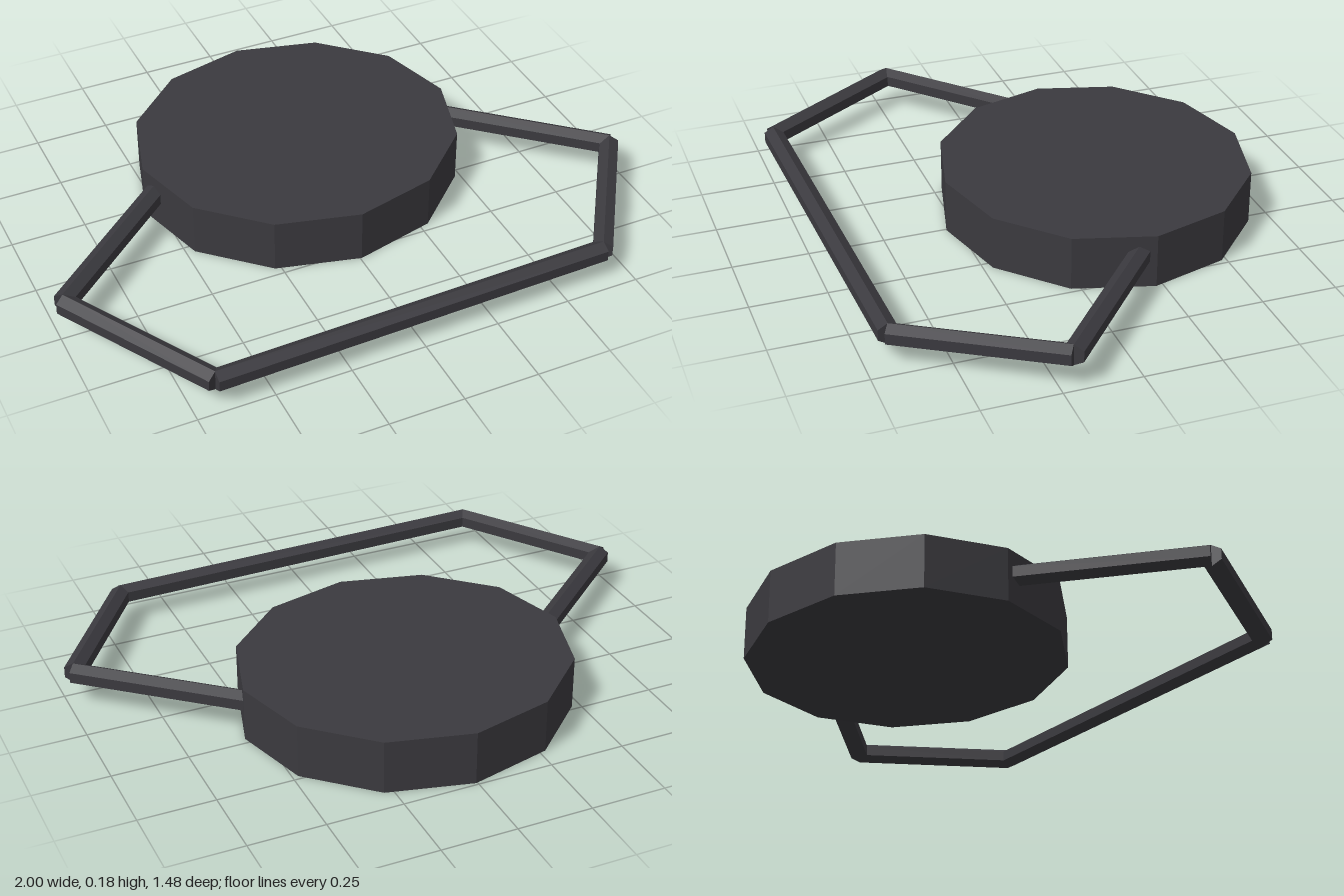
import * as THREE from 'three';

const charcoal = new THREE.MeshStandardMaterial({ color: 0x3b3a3f, flatShading: true });
charcoal.name = 'charcoal';

// Straight six-sided rod from a to b, with one ridge facing up
function rod(name, a, b) {
  const start = new THREE.Vector3(...a), end = new THREE.Vector3(...b);
  const geo = new THREE.CylinderGeometry(0.036, 0.036, start.distanceTo(end), 6);
  geo.rotateX(-Math.PI / 2);
  const mesh = new THREE.Mesh(geo, charcoal);
  mesh.name = name;
  mesh.position.copy(start).lerp(end, 0.5);
  mesh.lookAt(end);
  return mesh;
}

export function createModel() {
  const model = new THREE.Group();
  model.name = 'discWithLoop';

  // Twelve-sided disc, slightly wider than deep
  const disc = new THREE.Mesh(new THREE.CylinderGeometry(1, 1, 0.18, 12), charcoal);
  disc.name = 'disc';
  disc.scale.set(0.55, 1, 0.515);
  disc.position.set(0.005, 0.09, -0.227);
  model.add(disc);

  // Bent loop of rods, its ends sunk into the disc
  const path = [
    [-0.48, 0.109, -0.215], [-0.972, 0.105, 0.213], [-0.673, 0.09, 0.706],
    [0.667, 0.09, 0.671], [0.972, 0.105, 0.208], [0.49, 0.109, -0.215],
  ];
  const names = ['rightArm', 'rightSide', 'frontBar', 'leftSide', 'leftArm'];
  names.forEach((name, i) => model.add(rod(name, path[i], path[i + 1])));

  return model;
}
